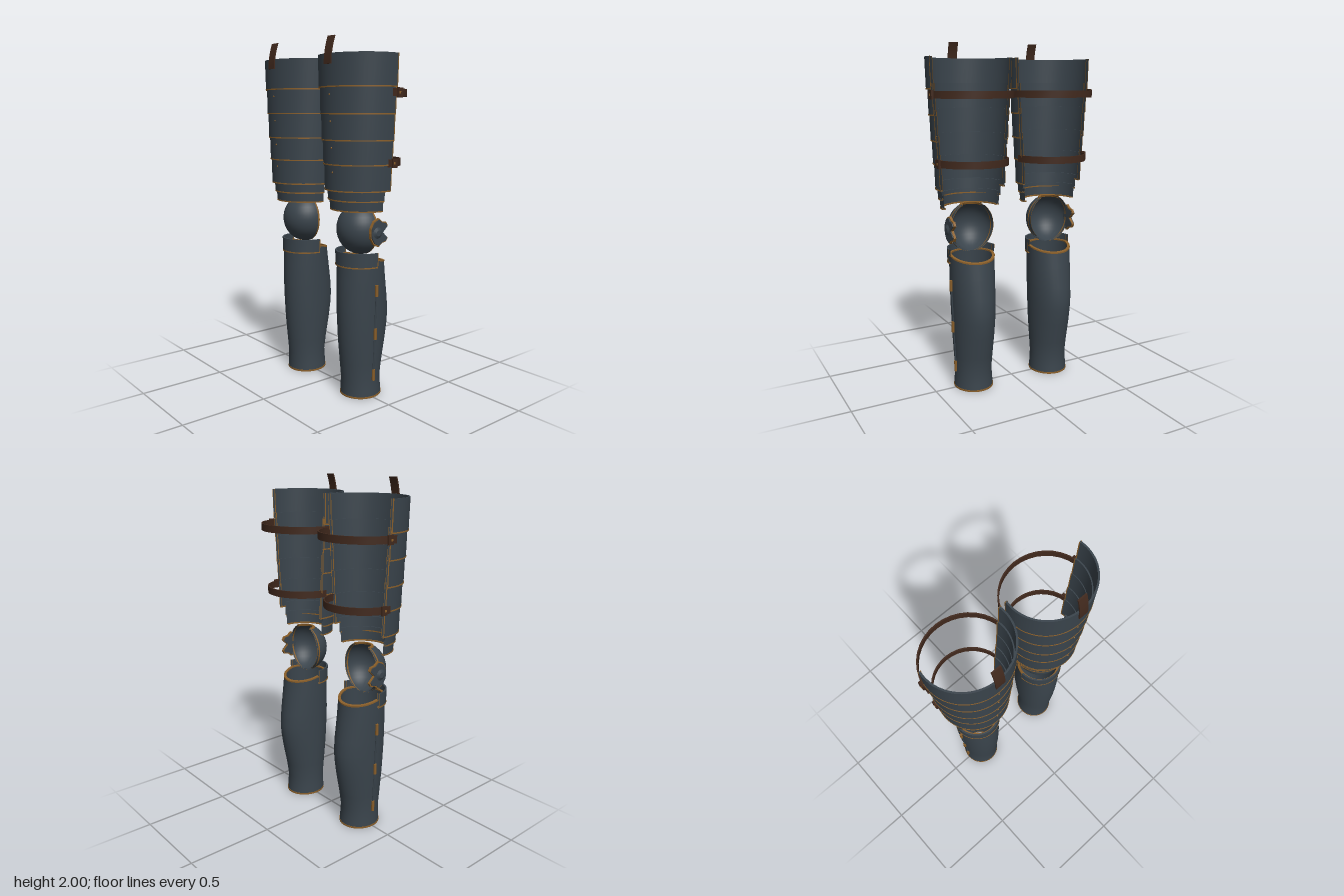
import * as THREE from 'three';
import { toCreasedNormals } from 'three/addons/utils/BufferGeometryUtils.js';

const material = (name, color) => {
  const m = new THREE.MeshStandardMaterial({ color, side: THREE.DoubleSide });
  m.name = name;
  return m;
};
const HALF = Math.PI / 2;

// Curved sheet of thickness t, lofted through rings [y, halfWidth, frontDepth, backDepth, backSlant].
// Angle 0 faces +z, HALF faces +x.
function shell(rings, { from = -Math.PI, to = Math.PI, n = 32, t = 0.01 } = {}) {
  const outer = rings.map(([y, rx, zf, zb = zf, slant = 0]) => [y, rx, zf, zb, slant]);
  const inner = outer.map(([y, rx, zf, zb, s]) =>
    [y, Math.max(rx - t, 0), Math.max(zf - t, 0), Math.max(zb - t, 0), s]).reverse();
  const loop = [...outer, ...inner, outer[0]];
  const pos = [], index = [];
  for (const [y, rx, zf, zb, slant] of loop) {
    for (let j = 0; j <= n; j++) {
      const a = from + (to - from) * j / n, c = Math.cos(a);
      const z = c * (c >= 0 ? zf : zb);
      pos.push(rx * Math.sin(a), y + slant * Math.min(0, z), z);
    }
  }
  for (let i = 0; i < loop.length - 1; i++) {
    for (let j = 0; j < n; j++) {
      const a = i * (n + 1) + j, b = a + n + 1;
      index.push(a, a + 1, b + 1, a, b + 1, b);
    }
  }
  const g = new THREE.BufferGeometry();
  g.setAttribute('position', new THREE.Float32BufferAttribute(pos, 3));
  g.setIndex(index);
  return toCreasedNormals(g, 0.7);
}

const grow = (rings, d) => rings.map(([y, rx, zf, zb = zf, s = 0]) => [y, rx + d, zf + d, zb + d, s]);

function createLeg(side, mats) {
  const { steel, brass, leather } = mats;
  const leg = new THREE.Group();
  leg.name = side > 0 ? 'leftLeg' : 'rightLeg';
  const add = (name, geometry, mat, x = 0, y = 0, z = 0) => {
    const m = new THREE.Mesh(geometry, mat);
    m.name = name;
    m.position.set(x, y, z);
    leg.add(m);
    return m;
  };
  // Brass strips along the two open ends of a partial shell
  const edges = (name, rings, end, t = 0.016, w = 0.03) => {
    for (const s of [-1, 1]) {
      const a = s * end, b = s * (end - w);
      add(name, shell(grow(rings, 0.003), { from: Math.min(a, b), to: Math.max(a, b), n: 1, t }), brass);
    }
  };

  // Thigh lames: bottom, top, half width bottom/top, front depth bottom/top, back extent
  const lames = [
    [1.74, 1.91, 0.241, 0.246, 0.232, 0.236, 0.15],
    [1.60, 1.77, 0.229, 0.234, 0.226, 0.228, 0.155],
    [1.46, 1.63, 0.220, 0.226, 0.220, 0.222, 0.16],
    [1.33, 1.49, 0.210, 0.216, 0.212, 0.215, 0.165],
    [1.19, 1.36, 0.200, 0.206, 0.205, 0.208, 0.17],
    [1.135, 1.22, 0.187, 0.192, 0.184, 0.19, 0],
    [1.08, 1.16, 0.175, 0.18, 0.173, 0.178, 0],
  ];
  lames.forEach(([y0, y1, r0, r1, z0, z1, extra], i) => {
    const end = HALF + extra, rings = [[y0, r0, z0], [y1, r1, z1]];
    add('thighPlate', shell(rings, { from: -end, to: end }), steel);
    const last = i > 4;
    add('thighPlateTrim', shell([[y0 - 0.003, r0 + 0.002, z0 + 0.002], [y0 + 0.004, r0 + 0.002, z0 + 0.002]],
      { from: -end, to: end, t: last ? 0.02 : 0.014 }), brass);
    if (!last) edges('thighEdgeTrim', rings, end);
    if (i > 0 && !last) {
      add('rivet', new THREE.SphereGeometry(0.005, 8, 6), brass, 0, y1 - 0.07, (z0 + z1) / 2);
    }
  });

  // Hanging tab at the top of the thigh
  const tab = new THREE.BoxGeometry(0.055, 0.145, 0.008, 1, 6, 1);
  const p = tab.attributes.position;
  for (let i = 0; i < p.count; i++) {
    const k = p.getY(i) / 0.145 + 0.5;
    p.setZ(i, p.getZ(i) - 0.027 * k * k);
  }
  tab.computeVertexNormals();
  add('beltTab', tab, leather, 0, 1.9275, 0.24);

  // Straps round the back of the thigh, with buckles on the outer side
  for (const [y, rx, zb] of [[1.71, 0.247, 0.24], [1.34, 0.214, 0.214]]) {
    add('thighStrap', shell([[y - 0.02, rx, zb], [y + 0.02, rx, zb]],
      { from: HALF, to: 3 * HALF, n: 18, t: 0.008 }), leather);
    add('strapBuckle', new THREE.BoxGeometry(0.012, 0.05, 0.035), leather, side * (rx - 0.001), y, -0.045);
    add('bucklePin', new THREE.BoxGeometry(0.014, 0.012, 0.012), brass, side * rx, y, -0.04);
  }

  // Knee cup: front half of an ellipsoid, open at the top
  const kneeY = 0.965, cup = [];
  for (let i = 0; i <= 14; i++) {
    const a = -1.4 + 2.5 * i / 14;
    cup.push([kneeY + 0.145 * Math.sin(a), 0.138 * Math.cos(a), 0.14 * Math.cos(a)]);
  }
  add('kneeCup', shell(cup, { from: -HALF, to: HALF, n: 24 }), steel);
  edges('kneeRim', cup, HALF, 0.016, 0.08);
  const [ky, krx, kzf] = cup[cup.length - 1];
  add('kneeTopRim', shell([[ky - 0.008, krx + 0.006, kzf + 0.006], [ky + 0.004, krx + 0.002, kzf + 0.002]],
    { from: -HALF, to: HALF, n: 16, t: 0.014 }), brass);

  // Swallow-tailed wing on the outer side of the knee
  const wing = (name, k, depth, mat, x) => {
    const u = z => -side * z * k;
    const s = new THREE.Shape();
    s.moveTo(u(-0.035), 0);
    [[-0.072, 0.035], [-0.06, 0.055], [-0.03, 0.06], [-0.005, 0.08], [0.03, 0.065], [0.052, 0.03],
      [0.056, 0], [0.052, -0.03], [0.03, -0.065], [-0.005, -0.08], [-0.03, -0.06], [-0.06, -0.055],
      [-0.072, -0.035]].forEach(([z, y]) => s.lineTo(u(z), y * k));
    s.closePath();
    const g = new THREE.ExtrudeGeometry(s, { depth, bevelEnabled: false });
    g.rotateY(side * HALF);
    add(name, g, mat, side * x, 0.958, 0);
  };
  wing('kneeWingTrim', 1, 0.014, brass, 0.126);
  wing('kneeWing', 0.9, 0.022, steel, 0.124);
  const boss = add('kneeWingBoss', new THREE.CylinderGeometry(0.016, 0.034, 0.01, 12), steel, side * 0.15, 0.958, 0.008);
  boss.rotation.z = -side * HALF;

  // Cuff below the knee
  const cuff = [[0.765, 0.141, 0.145], [0.845, 0.143, 0.147]];
  add('cuff', shell(cuff, { from: -HALF, to: HALF, n: 24 }), steel);
  add('cuffTrim', shell([[0.761, 0.143, 0.147], [0.768, 0.143, 0.147]],
    { from: -HALF, to: HALF, n: 24, t: 0.014 }), brass);
  edges('cuffEdgeTrim', cuff, HALF);

  // Greave: closed tube with a swelling calf
  const greave = [
    [0.005, 0.114, 0.115, 0.123], [0.04, 0.112, 0.114, 0.12], [0.11, 0.107, 0.115, 0.116],
    [0.20, 0.112, 0.124, 0.13], [0.33, 0.119, 0.136, 0.157], [0.42, 0.122, 0.141, 0.171],
    [0.48, 0.124, 0.144, 0.174], [0.56, 0.126, 0.146, 0.166], [0.68, 0.129, 0.144, 0.146],
    [0.803, 0.131, 0.138, 0.13, 0.23],
  ];
  add('greave', shell(greave), steel);
  add('ankleTrim', shell([[0, 0.116, 0.117, 0.125], [0.01, 0.116, 0.117, 0.125]], { t: 0.016 }), brass);
  add('greaveTopTrim', shell([[0.8, 0.133, 0.14, 0.132, 0.23], [0.808, 0.133, 0.14, 0.132, 0.23]],
    { t: 0.016 }), brass);

  // Seam and hinges on the outer side of the greave
  const seam = new THREE.LineCurve3(new THREE.Vector3(side * 0.11, 0.1, 0), new THREE.Vector3(side * 0.134, 0.66, 0));
  add('greaveSeam', new THREE.TubeGeometry(seam, 1, 0.005, 6), steel);
  for (const [x, y] of [[0.134, 0.63], [0.126, 0.38], [0.114, 0.135]]) {
    add('hinge', new THREE.CylinderGeometry(0.009, 0.009, 0.065, 8), brass, side * x, y, 0);
  }

  leg.position.x = side * 0.259;
  return leg;
}

export function createModel() {
  const mats = {
    steel: material('darkSteel', 0x3a444c),
    brass: material('brassTrim', 0x8a5f2a),
    leather: material('brownLeather', 0x41291d),
  };
  const model = new THREE.Group();
  model.name = 'legArmour';
  for (const side of [-1, 1]) model.add(createLeg(side, mats));
  return model;
}
